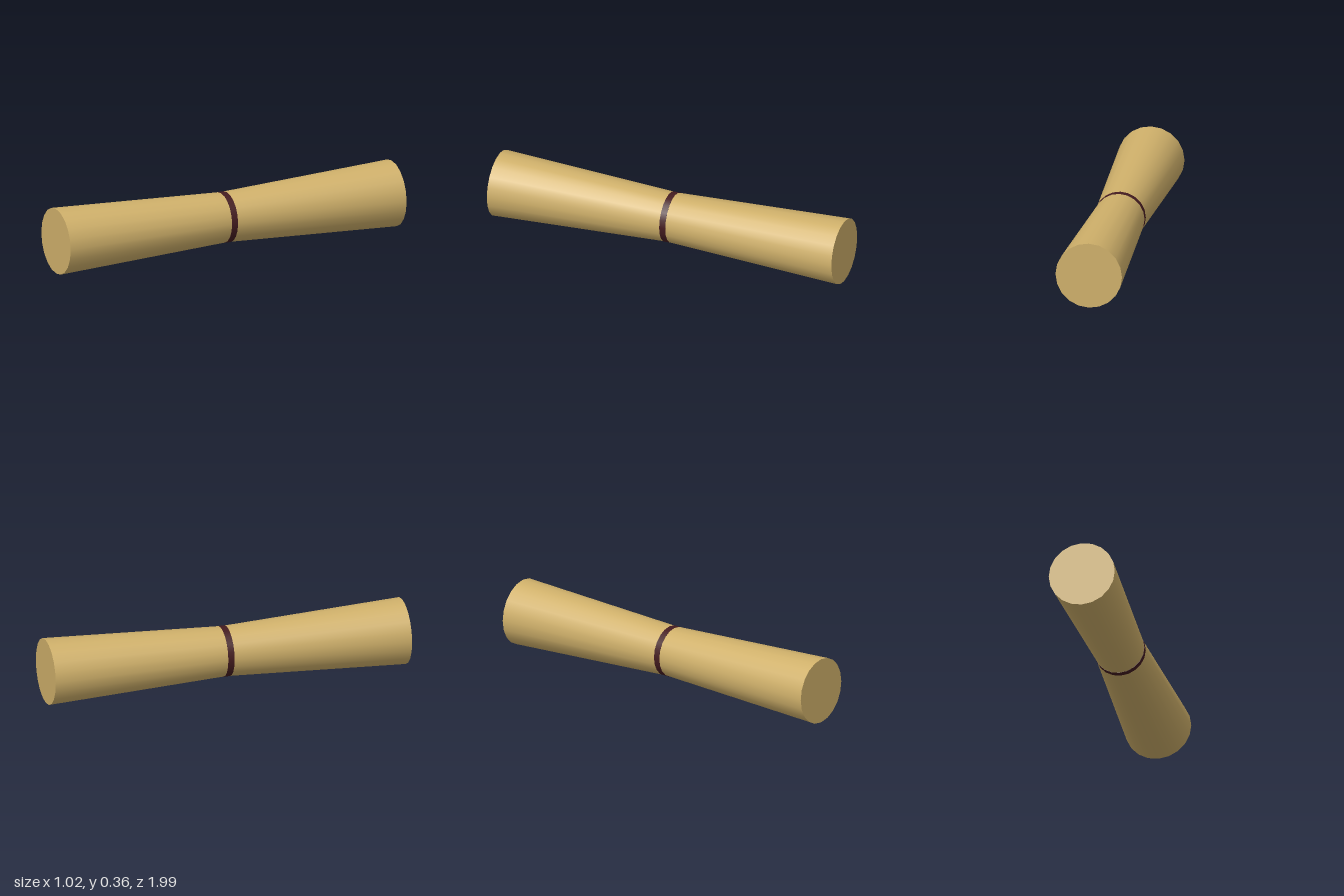
import * as THREE from 'three';

const SIDES = 20;
const END_RADIUS = 0.18;
const WAIST_RADIUS = 0.135;
const HALF_LENGTH = 0.995;

export function createModel() {
  const tan = new THREE.MeshStandardMaterial({ name: 'tan', color: 0xcfb06a });
  const maroon = new THREE.MeshStandardMaterial({ name: 'dark maroon', color: 0x451c20 });

  const model = new THREE.Group();
  model.name = 'waistedRoll';

  const addMesh = (parent, name, geometry, material) => {
    const mesh = new THREE.Mesh(geometry, material);
    mesh.name = name;
    parent.add(mesh);
    return mesh;
  };

  // Two flared halves, meeting at the waist, each closed by a flat end
  for (const [name, turn] of [['front', 0], ['back', Math.PI]]) {
    const half = new THREE.Group();
    half.name = name + 'Half';
    const flare = new THREE.CylinderGeometry(END_RADIUS, WAIST_RADIUS, HALF_LENGTH, SIDES, 1, true);
    flare.rotateX(Math.PI / 2).translate(0, 0, HALF_LENGTH / 2);
    addMesh(half, name + 'Flare', flare, tan);
    addMesh(half, name + 'End', new THREE.CircleGeometry(END_RADIUS, SIDES), tan).position.z = HALF_LENGTH;
    half.rotation.y = turn;
    model.add(half);
  }

  // Thin band around the waist
  const band = new THREE.CylinderGeometry(0.1368, 0.1368, 0.035, SIDES);
  band.rotateX(Math.PI / 2);
  addMesh(model, 'waistBand', band, maroon);

  // Lies on its side, turned off the front axis
  model.rotation.y = THREE.MathUtils.degToRad(-20);
  model.position.y = 0.181;

  const root = new THREE.Group();
  root.add(model);
  return root;
}
